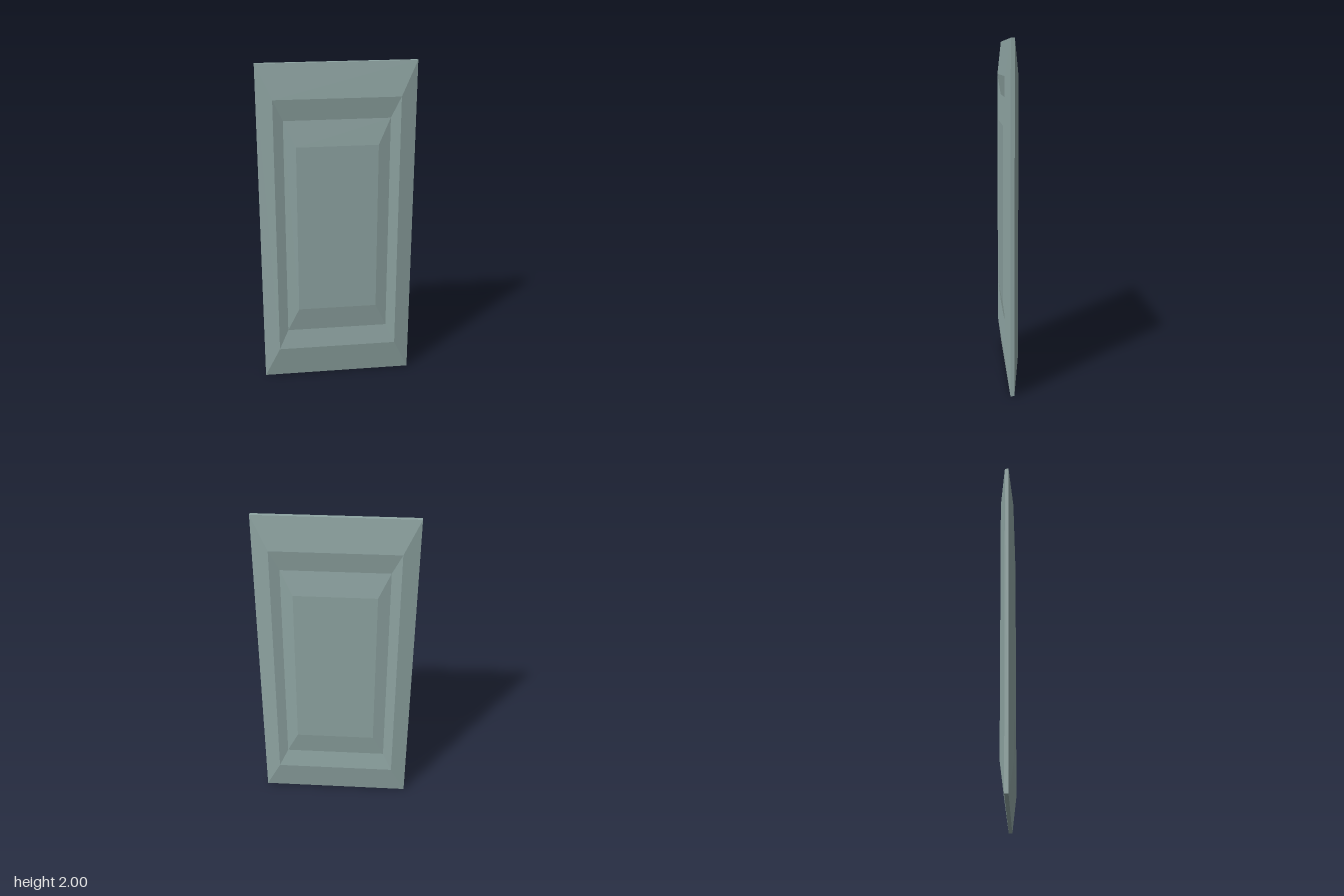
import * as THREE from 'three';

// Half width, half height and half depth of each rectangle, from rim to centre
const STEPS = [
  [0.46, 1.0, 0.011],   // thin outer rim
  [0.367, 0.8, 0.038],  // top of the outer bevel
  [0.31, 0.675, 0.021], // bottom of the groove
  [0.24, 0.522, 0.04],  // raised centre field
];
const CORNERS = [[1, -1], [1, 1], [-1, 1], [-1, -1]];

// Skins the rectangles from the back centre, round the rim, to the front centre
function panelGeometry() {
  const layers = [
    ...STEPS.map(([w, h, d]) => [w, h, -d]).reverse(),
    ...STEPS,
  ];
  const positions = [];
  const index = [];
  for (const [w, h, z] of layers) {
    for (const [sx, sy] of CORNERS) positions.push(sx * w, sy * h, z);
  }
  for (let i = 0; i < layers.length - 1; i++) {
    for (let k = 0; k < 4; k++) {
      const a = i * 4 + k;
      const b = i * 4 + (k + 1) % 4;
      index.push(a, b, b + 4, a, b + 4, a + 4);
    }
  }
  // Flat centre fields, back and front
  const f = (layers.length - 1) * 4;
  index.push(0, 2, 1, 0, 3, 2, f, f + 1, f + 2, f, f + 2, f + 3);

  const indexed = new THREE.BufferGeometry();
  indexed.setAttribute('position', new THREE.Float32BufferAttribute(positions, 3));
  indexed.setIndex(index);
  const geometry = indexed.toNonIndexed();
  geometry.computeVertexNormals();
  return geometry;
}

export function createModel() {
  const group = new THREE.Group();
  group.name = 'bevelledPanel';
  const material = new THREE.MeshStandardMaterial({ color: 0x8fa5a3, flatShading: true });
  const panel = new THREE.Mesh(panelGeometry(), material);
  panel.name = 'panel';
  panel.position.y = 1;
  group.add(panel);
  return group;
}
